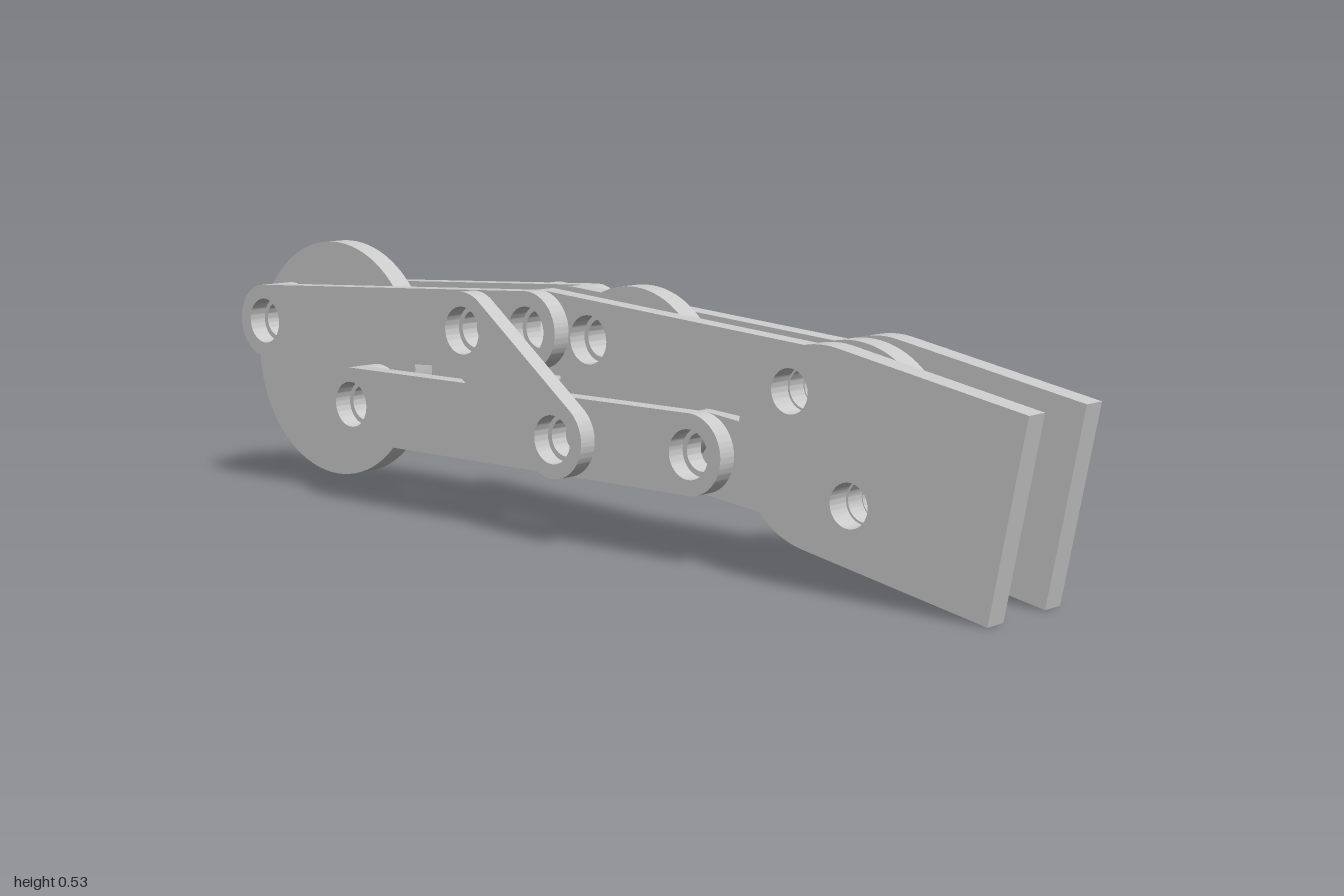
import * as THREE from 'three';
import { toCreasedNormals } from 'three/addons/utils/BufferGeometryUtils.js';

const material = new THREE.MeshStandardMaterial({ color: 0xcccccc });

// Pivot positions [x, y]
const P = {
  A: [-0.89, 0.36], B: [-0.623, 0.21], C: [-0.26, 0.393], D: [-0.125, 0.4], E: [0, 0.39],
  F: [-0.022, 0.208], G: [0.28, 0.21], H: [0.515, 0.348], I: [0.645, 0.165],
};
const WIDE = 0.046, NARROW = 0.036;

// Layers through the thickness [z near, z far]
const CORE = [-0.023, 0.023], INNER = [0.023, 0.062], MIDDLE = [0.062, 0.1];
const OUTER = [0.1, 0.137], FORK = [0.062, 0.108];

// Extrude a shape across a layer; holes are [pivot, radius]
function plate(shape, [z0, z1], holes = []) {
  for (const [[x, y], r] of holes) {
    shape.holes.push(new THREE.Path().absarc(x, y, r, 0, Math.PI * 2, true));
  }
  const geo = new THREE.ExtrudeGeometry(shape, { depth: z1 - z0, bevelEnabled: false, curveSegments: 40 });
  geo.translate(0, 0, z0);
  return toCreasedNormals(geo, 0.5);
}

const disc = ([x, y], r) => new THREE.Shape().absarc(x, y, r, 0, Math.PI * 2, false);

// Bar with round ends
function bar(a, b, r) {
  const t = Math.atan2(b[1] - a[1], b[0] - a[0]);
  const s = new THREE.Shape();
  s.absarc(b[0], b[1], r, t - Math.PI / 2, t + Math.PI / 2, false);
  s.absarc(a[0], a[1], r, t + Math.PI / 2, t + Math.PI * 1.5, false);
  s.closePath();
  return s;
}

// Plate with one round end and one square end
function forkShape([x, y], r, length, tilt) {
  const s = new THREE.Shape();
  s.absarc(x, y, r, tilt + Math.PI / 2, tilt + Math.PI * 1.5, false);
  const ex = x + Math.cos(tilt) * length, ey = y + Math.sin(tilt) * length;
  const nx = -Math.sin(tilt) * r, ny = Math.cos(tilt) * r;
  s.lineTo(ex - nx, ey - ny);
  s.lineTo(ex + nx, ey + ny);
  s.closePath();
  return s;
}

export function createModel() {
  const model = new THREE.Group();
  const { A, B, C, D, E, F, G, H, I } = P;

  function add(name, geo) {
    const mesh = new THREE.Mesh(geo, material);
    mesh.name = name;
    model.add(mesh);
  }
  // Same part on the front and back of the mechanism
  function addPair(name, makeShape, [z0, z1], holes) {
    add(name + 'Front', plate(makeShape(), [z0, z1], holes));
    add(name + 'Back', plate(makeShape(), [-z1, -z0], holes));
  }

  // Central discs
  add('baseDisc', plate(disc([-0.757, 0.285], 0.243), CORE, [[A, NARROW], [B, NARROW]]));
  add('middleDisc', plate(disc([0.073, 0.31], 0.182), CORE, [[E, NARROW]]));
  add('endDisc', plate(disc([0.582, 0.2535], 0.181), CORE, [[H, 0.034], [I, 0.034]]));

  // Spacers between the base disc and the long links
  addPair('upperSpacer', () => disc(A, 0.075), INNER, [[A, NARROW]]);
  addPair('lowerSpacer', () => disc(B, 0.075), INNER, [[B, NARROW]]);

  // Long links from the base disc
  addPair('upperLink', () => bar(A, D, 0.075), MIDDLE, [[A, WIDE], [C, NARROW], [D, WIDE]]);
  addPair('lowerLink', () => bar(B, G, 0.075), MIDDLE, [[B, WIDE], [F, NARROW], [G, WIDE]]);

  // Inner links reaching the end disc
  addPair('upperInnerLink', () => bar(D, H, 0.075), INNER, [[D, NARROW], [E, WIDE], [H, NARROW]]);
  addPair('lowerInnerLink', () => bar(G, I, 0.075), INNER, [[G, NARROW], [I, NARROW]]);

  // Diagonal rockers on the outside
  addPair('rocker', () => bar(C, F, 0.074), OUTER, [[C, WIDE], [F, WIDE]]);

  // End fork
  addPair('forkPlate', () => forkShape([0.582, 0.2535], 0.181, 0.39, -0.194), FORK, [[H, 0.04], [I, 0.04]]);

  return model;
}
